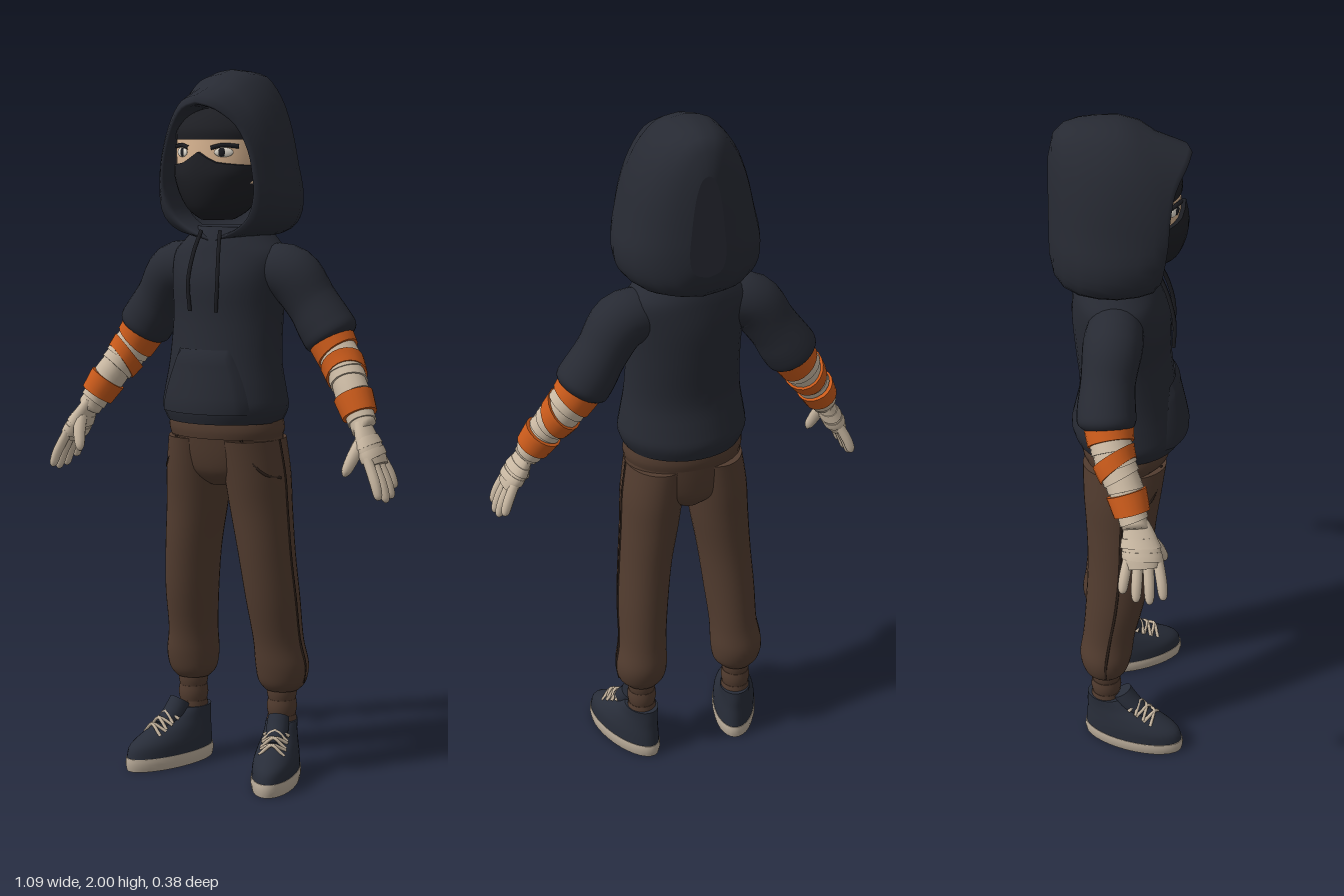
import * as THREE from 'three';

const mat = (name, color, side = THREE.FrontSide) => {
  const m = new THREE.MeshStandardMaterial({ color, side });
  m.name = name;
  return m;
};
const M = {
  hoodie: mat('charcoal cloth', 0x272a33, THREE.DoubleSide),
  mask: mat('near black cloth', 0x1d1e23),
  skin: mat('skin', 0xd8b491),
  eye: mat('eye white', 0xe6dfd2),
  pants: mat('brown cloth', 0x523c2f),
  seam: mat('dark brown seam', 0x30231c),
  orange: mat('orange band', 0xcb5b1b),
  wrap: mat('linen wrap', 0xc9b8a2),
  shoe: mat('navy shoe', 0x282d39),
  sole: mat('pale sole', 0xb9ab99),
};
const V = (x, y, z) => new THREE.Vector3(x, y, z);
const TAU = Math.PI * 2;
const lerp = THREE.MathUtils.lerp;

function add(parent, name, geometry, material) {
  const mesh = new THREE.Mesh(geometry, material);
  mesh.name = name;
  parent.add(mesh);
  return mesh;
}

// Smoothly interpolates every column of a small table, t from 0 to 1
function sampler(rows) {
  const cols = rows[0].map((_, k) => new THREE.SplineCurve(rows.map((r, i) => new THREE.Vector2(i, r[k]))));
  return t => cols.map(c => c.getPoint(THREE.MathUtils.clamp(t, 0, 1)).y);
}

// Joins closed rings of points, with optional flat end caps
function skin(rings, capStart = true, capEnd = true) {
  const n = rings[0].length, pos = [], idx = [];
  const put = p => pos.push(p.x, p.y, p.z) / 3 - 1;
  rings.forEach(r => r.forEach(put));
  for (let i = 0; i < rings.length - 1; i++) {
    for (let j = 0; j < n; j++) {
      const k = (j + 1) % n, a = i * n, b = a + n;
      idx.push(a + j, b + j, a + k, b + j, b + k, a + k);
    }
  }
  const cap = (ring, flip) => {
    const c = put(ring.reduce((s, p) => s.add(p), V(0, 0, 0)).divideScalar(n));
    const ids = ring.map(put);
    ids.forEach((id, j) => {
      const next = ids[(j + 1) % n];
      idx.push(c, flip ? id : next, flip ? next : id);
    });
  };
  if (capStart) cap(rings[0], true);
  if (capEnd) cap(rings[rings.length - 1], false);
  const g = new THREE.BufferGeometry();
  g.setAttribute('position', new THREE.Float32BufferAttribute(pos, 3));
  g.setIndex(idx);
  g.computeVertexNormals();
  return g;
}

// Upright form from rows of [y, centreX, centreZ, radiusX, radiusZ]
function loft(rows, steps = rows.length * 3, seg = 32) {
  const at = sampler(rows);
  return skin(Array.from({ length: steps + 1 }, (_, i) => {
    const [y, cx, cz, rx, rz] = at(i / steps);
    return Array.from({ length: seg }, (_, j) => V(cx + rx * Math.cos(j / seg * TAU), y, cz + rz * Math.sin(j / seg * TAU)));
  }));
}

// Bent limb from rows of [x, y, z, radius]; can cover a stretch, swell, flatten and tilt
function limb(rows, { t0 = 0, t1 = 1, grow = [0, 0], flat = 1, tilt = 0, phase = 0, steps = 12, seg = 20 } = {}) {
  const at = sampler(rows), p = t => V(...at(t).slice(0, 3));
  return skin(Array.from({ length: steps + 1 }, (_, i) => {
    const t = lerp(t0, t1, i / steps), r = at(t)[3] + lerp(grow[0], grow[1], i / steps);
    const T = p(t + 0.01).sub(p(t - 0.01)).normalize();
    const N = V(0, 0, 1).addScaledVector(T, -T.z).normalize(), B = N.clone().cross(T);
    return Array.from({ length: seg }, (_, j) => {
      const a = j / seg * TAU;
      return p(t).addScaledVector(N, r * Math.cos(a)).addScaledVector(B, r * flat * Math.sin(a))
        .addScaledVector(T, tilt * Math.cos(a + phase));
    });
  }));
}

const tube = (pts, r, n = 16) => new THREE.TubeGeometry(new THREE.CatmullRomCurve3(pts.map(p => V(...p))), n, r, 6);

const TORSO = [
  [1.03, 0, 0.02, 0.168, 0.15], [1.07, 0, 0.02, 0.184, 0.16], [1.12, 0, 0.02, 0.178, 0.15],
  [1.2, 0, 0.018, 0.166, 0.134], [1.32, 0, 0.005, 0.162, 0.132], [1.42, 0, 0, 0.168, 0.135],
  [1.49, 0, -0.01, 0.172, 0.122], [1.53, 0, -0.015, 0.14, 0.112], [1.57, 0, -0.02, 0.1, 0.095]];
function torsoFront(x, y) {
  const i = Math.max(0, Math.min(TORSO.length - 2, TORSO.findIndex(r => r[0] > y) - 1));
  const [a, b] = [TORSO[i], TORSO[i + 1]], f = (y - a[0]) / (b[0] - a[0]);
  return lerp(a[2], b[2], f) + lerp(a[4], b[4], f) * Math.sqrt(Math.max(0, 1 - (x / lerp(a[3], b[3], f)) ** 2));
}

function buildSweater(g) {
  add(g, 'sweaterBody', loft(TORSO), M.hoodie);
  // Front pouch follows the belly
  const pouch = new THREE.PlaneGeometry(2, 1, 20, 8), p = pouch.attributes.position;
  for (let i = 0; i < p.count; i++) {
    const u = p.getX(i), v = p.getY(i) + 0.5, y = 1.06 + 0.175 * v;
    const x = u * lerp(0.14, 0.08, v ** 1.5);
    p.setXYZ(i, x, y, torsoFront(x, y) + (Math.abs(u) > 0.99 || v > 0.99 ? 0.002 : 0.013));
  }
  pouch.computeVertexNormals();
  add(g, 'frontPouch', pouch, M.hoodie);
  for (const s of [-1, 1]) {
    add(g, 'drawstring', tube([[0.03, 1.56, 0.1], [0.04, 1.5, 0.125], [0.047, 1.42, 0.143], [0.042, 1.34, 0.142]]
      .map(([x, y, z]) => [s * x, y, z]), 0.006), M.mask);
  }
}

// Hood: contour rings running from the face opening back to the crown
function buildHood(g) {
  const opening = [[0, 1.905], [0.05, 1.89], [0.1, 1.845], [0.13, 1.78], [0.142, 1.72], [0.142, 1.66], [0.12, 1.6], [0.07, 1.56], [0, 1.535]];
  const outer = [[0, 2], [0.065, 1.985], [0.12, 1.925], [0.157, 1.84], [0.182, 1.74], [0.2, 1.66], [0.188, 1.59], [0.13, 1.548], [0, 1.53]];
  const rimZ = sampler([[0.178], [0.165], [0.135], [0.122], [0.118], [0.11], [0.102], [0.095], [0.09]]);
  const so = sampler(opening), sf = sampler(outer), half = 24;
  // mix toward outer, x scale, y scale, z (null follows the rim), rim offset
  const spec = [
    [0, 0.98, 0.98, null, -0.09], [0, 0.98, 0.98, null, -0.01], [0, 1, 1, null, 0], [0, 1.05, 1.03, null, 0.004],
    [0.2, 1.05, 1.02, null, -0.005], [0.55, 1.02, 1, 0.085], [0.85, 1, 1, 0.045], [1, 1, 1, -0.01], [1, 0.97, 1, -0.06],
    [1, 0.88, 0.985, -0.11], [1, 0.7, 0.945, -0.15], [1, 0.48, 0.84, -0.177], [1, 0.25, 0.6, -0.19]];
  const rings = spec.map(([mix, sx, sy, z, off = 0]) => Array.from({ length: half * 2 }, (_, j) => {
    const t = j <= half ? j / half : 2 - j / half, side = j <= half ? -1 : 1;
    const a = so(t), b = sf(t);
    return V(side * lerp(a[0], b[0], mix) * sx, 1.74 + (lerp(a[1], b[1], mix) - 1.74) * sy, z ?? rimZ(t)[0] + off);
  }));
  add(g, 'hood', skin(rings, false, true), M.hoodie);
}

function buildHead(g) {
  add(g, 'face', loft([[1.69, 0, 0.03, 0.128, 0.125], [1.75, 0, 0.03, 0.133, 0.127], [1.83, 0, 0.03, 0.13, 0.122]]), M.skin);
  add(g, 'browBand', loft([[1.808, 0, 0.03, 0.134, 0.129], [1.84, 0, 0.03, 0.128, 0.125], [1.88, 0, 0.02, 0.09, 0.1], [1.9, 0, 0.01, 0.03, 0.04]]), M.mask);
  // Face mask, with its upper edge rising over the nose
  const mask = loft([[1.59, 0, 0.06, 0.04, 0.06], [1.615, 0, 0.055, 0.078, 0.095], [1.66, 0, 0.045, 0.11, 0.125], [1.71, 0, 0.04, 0.128, 0.138], [1.75, 0, 0.033, 0.136, 0.135]]);
  const p = mask.attributes.position;
  for (let i = 0; i < p.count; i++) {
    const k = Math.max(0, (p.getY(i) - 1.7) / 0.05), x = p.getX(i);
    p.setY(i, p.getY(i) + k * (0.025 * Math.exp(-((x / 0.03) ** 2)) - 0.012 * Math.min(1, Math.abs(x) / 0.12)));
  }
  mask.computeVertexNormals();
  add(g, 'faceMask', mask, M.mask);
  for (const s of [-1, 1]) {
    const eye = add(g, 'eye', new THREE.SphereGeometry(1, 16, 10), M.eye);
    eye.scale.set(0.026, 0.013, 0.005);
    eye.position.set(s * 0.066, 1.774, 0.139);
    eye.rotation.y = s * 0.5;
    const pupil = add(g, 'pupil', new THREE.SphereGeometry(1, 12, 8), M.mask);
    pupil.scale.set(0.01, 0.012, 0.004);
    pupil.position.set(s * 0.063, 1.774, 0.144);
    pupil.rotation.y = s * 0.5;
    add(g, 'eyebrow', tube([[s * 0.035, 1.786, 0.155], [s * 0.065, 1.793, 0.144], [s * 0.1, 1.79, 0.116]], 0.006), M.mask);
  }
}

function buildArm(g) {
  add(g, 'sleeve', limb([[0.09, 1.45, -0.012, 0.07], [0.185, 1.44, -0.02, 0.08], [0.245, 1.365, -0.032, 0.073],
    [0.285, 1.305, -0.036, 0.078], [0.308, 1.272, -0.036, 0.077], [0.318, 1.257, -0.036, 0.058]], { steps: 24, seg: 28 }), M.hoodie);
  const arm = [[0.28, 1.31, -0.036, 0.055], [0.345, 1.21, -0.02, 0.055], [0.4, 1.125, 0.015, 0.046], [0.455, 1.03, 0.045, 0.034]];
  // Overlapping turns of bandage
  for (let i = 0; i < 8; i++) {
    add(g, 'armWrap', limb(arm, { t0: 0.1 + i * 0.11, t1: 0.24 + i * 0.11, grow: [-0.003, 0.003], tilt: 0.008 * (i % 2 ? 1 : -0.6), phase: i, steps: 3 }), M.wrap);
  }
  add(g, 'elbowBand', limb(arm, { t0: 0.12, t1: 0.28, grow: [0.012, 0.007], tilt: 0.012, phase: 1.6, steps: 4 }), M.orange);
  add(g, 'forearmBand', limb(arm, { t0: 0.37, t1: 0.5, grow: [0.007, 0.006], tilt: 0.02, phase: 2.6, steps: 4 }), M.orange);
  add(g, 'wristBand', limb(arm, { t0: 0.69, t1: 0.84, grow: [0.01, 0.01], steps: 4 }), M.orange);
  // Palm, knuckle wraps, fingers and thumb
  const palm = [[0.445, 1.05, 0.042, 0.034], [0.465, 1.01, 0.053, 0.046], [0.485, 0.972, 0.06, 0.052], [0.502, 0.942, 0.063, 0.044]];
  add(g, 'palm', limb(palm, { flat: 0.56 }), M.wrap);
  for (const t of [0.3, 0.58]) add(g, 'handWrap', limb(palm, { t0: t, t1: t + 0.2, grow: [0.001, 0.004], flat: 0.58, tilt: 0.008, steps: 3 }), M.wrap);
  for (let i = 0; i < 4; i++) {
    const z = 0.024 + i * 0.026, long = [0.8, 1, 1.05, 0.95][i], spread = (i - 1.5) * 0.007;
    add(g, 'finger', limb([[0.49, 0.965, z, 0.014], [0.49 + 0.03 * long, 0.965 - 0.06 * long, z + spread, 0.0145],
      [0.49 + 0.044 * long, 0.965 - 0.1 * long, z + spread * 1.4, 0.012], [0.49 + 0.047 * long, 0.965 - 0.112 * long, z + spread * 1.5, 0.004]], { seg: 10 }), M.wrap);
  }
  add(g, 'thumb', limb([[0.46, 1.01, 0.075, 0.018], [0.45, 0.97, 0.1, 0.018], [0.437, 0.93, 0.117, 0.014], [0.432, 0.914, 0.121, 0.004]], { seg: 10 }), M.wrap);
}

function buildLeg(g) {
  const rows = [[0.25, 0.15, -0.045, 0.05, 0.05], [0.275, 0.15, -0.045, 0.07, 0.066], [0.325, 0.15, -0.044, 0.077, 0.077],
    [0.4, 0.143, -0.034, 0.071, 0.077], [0.52, 0.135, -0.016, 0.075, 0.086], [0.65, 0.122, -0.004, 0.078, 0.092],
    [0.78, 0.106, 0, 0.085, 0.1], [0.88, 0.096, 0.004, 0.089, 0.11], [0.98, 0.082, 0.01, 0.088, 0.118]];
  add(g, 'trouserLeg', loft(rows, 40), M.pants);
  add(g, 'sideSeam', tube(rows.slice(1).map(r => [r[1] + r[3] - 0.001, r[0], r[2]]), 0.004, 32), M.seam);
  add(g, 'pocketSeam', tube([[0.105, 0.985, 0.112], [0.13, 0.93, 0.103], [0.16, 0.89, 0.078], [0.183, 0.875, 0.025]], 0.004), M.seam);
  for (let i = 0; i < 3; i++) {
    const y = 0.125 + i * 0.046;
    add(g, 'ankleCuff', loft([[y, 0.15, -0.044, 0.038, 0.04], [y + 0.025, 0.15, -0.044, 0.043, 0.045], [y + 0.05, 0.15, -0.044, 0.04, 0.042]], 4), M.pants);
  }
  // Shoe points outward
  const shoe = new THREE.Group();
  shoe.name = 'shoe';
  shoe.position.set(0.15, 0, -0.045);
  shoe.rotation.y = 0.33;
  g.add(shoe);
  add(shoe, 'sole', loft([[0, 0, 0.09, 0.063, 0.152], [0.02, 0, 0.09, 0.067, 0.156], [0.038, 0, 0.09, 0.065, 0.154]], 4), M.sole);
  add(shoe, 'shoeUpper', loft([[0.036, 0, 0.09, 0.064, 0.152], [0.07, 0, 0.085, 0.062, 0.145], [0.1, 0, 0.06, 0.055, 0.118],
    [0.13, 0, 0.025, 0.047, 0.083], [0.16, 0, 0.002, 0.045, 0.058]]), M.shoe);
  add(shoe, 'shoeTongue', limb([[0, 0.11, 0.12, 0.025], [0, 0.145, 0.075, 0.032], [0, 0.18, 0.052, 0.03]], { flat: 1, steps: 4 }).scale(1, 1, 1), M.shoe);
  for (let i = 0; i < 3; i++) {
    const y = 0.146 - i * 0.014, z = 0.096 + i * 0.024;
    for (const s of [-1, 1]) {
      add(shoe, 'lace', tube([[-s * 0.036, y - 0.012, z - 0.012], [0, y + 0.008, z + 0.01], [s * 0.036, y - 0.022, z + 0.01]], 0.005, 8), M.wrap);
    }
  }
}

// Baked mirror copy of a finished side
function mirrored(src, name) {
  const out = new THREE.Group();
  out.name = name;
  src.updateMatrixWorld(true);
  src.traverse(o => {
    if (!o.isMesh) return;
    const geo = o.geometry.clone().applyMatrix4(o.matrixWorld).scale(-1, 1, 1);
    geo.setIndex(Array.from(geo.index.array).reverse());
    add(out, o.name, geo, o.material);
  });
  return out;
}

export function createModel() {
  const root = new THREE.Group();
  root.name = 'hoodedFigure';
  buildSweater(root);
  buildHood(root);
  buildHead(root);
  add(root, 'trouserSeat', loft([[0.845, 0, 0, 0.05, 0.07], [0.88, 0, 0.004, 0.14, 0.1], [0.93, 0, 0.008, 0.17, 0.113], [1, 0, 0.012, 0.168, 0.122]]), M.pants);
  add(root, 'waistband', loft([[0.985, 0, 0.014, 0.168, 0.126], [1.01, 0, 0.014, 0.174, 0.13], [1.045, 0, 0.014, 0.168, 0.126]], 6), M.pants);
  for (const [name, build] of [['Arm', buildArm], ['Leg', buildLeg]]) {
    const left = new THREE.Group();
    left.name = 'left' + name;
    build(left);
    root.add(left, mirrored(left, 'right' + name));
  }
  return root;
}
